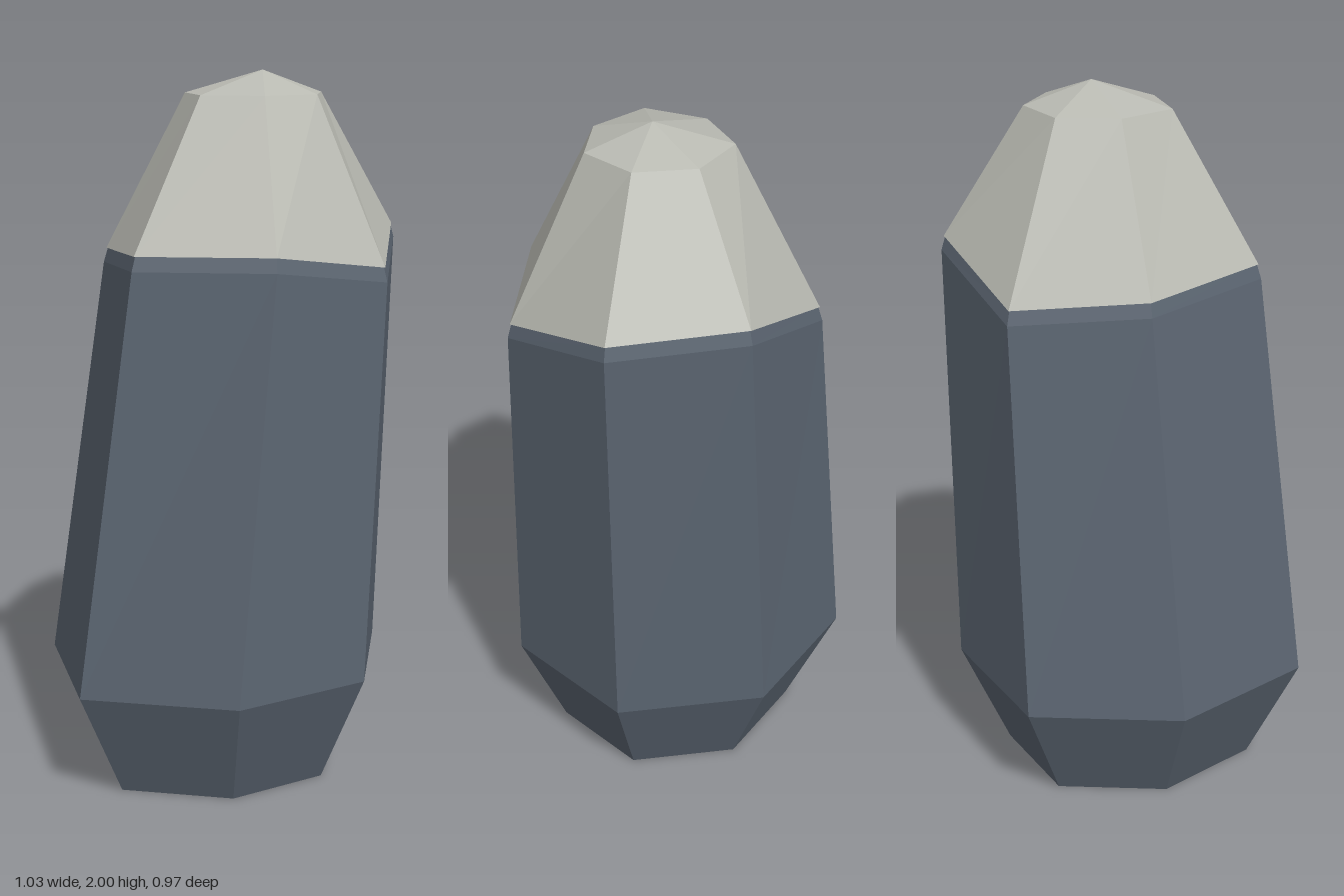
import * as THREE from 'three';

// Seven-sided outlines [x, z], counter-clockwise seen from above
const BULGE = [[0.47, 0.02], [0.28, -0.365], [-0.14, -0.485], [-0.47, -0.195], [-0.515, 0.255], [-0.13, 0.48], [0.275, 0.395]];
const RIM = [[0.505, 0.02], [0.347, -0.315], [-0.015, -0.41], [-0.3, -0.165], [-0.337, 0.225], [-0.005, 0.415], [0.338, 0.345]];
const CROWN = [[0.28, 0.02], [0.208, -0.135], [0.037, -0.18], [-0.095, -0.065], [-0.112, 0.115], [0.04, 0.205], [0.205, 0.172]];
const RIM_Y = [1.56, 1.58, 1.47, 1.5, 1.525, 1.53, 1.48];

// Turns an outline into a 3D ring, scaled about (cx, cz)
function ring(outline, heightAt, scale = 1, cx = 0, cz = 0) {
  return outline.map(([x, z], i) =>
    new THREE.Vector3(cx + (x - cx) * scale, heightAt(i), cz + (z - cz) * scale));
}

// Joins rings from bottom to top, closing the ends with fans where a centre is given
function loft(name, rings, color, bottom, top) {
  const pos = [];
  const tri = (...points) => points.forEach((p) => pos.push(p.x, p.y, p.z));
  const n = rings[0].length;
  const last = rings[rings.length - 1];
  for (let i = 0; i < n; i++) {
    const j = (i + 1) % n;
    for (let k = 0; k < rings.length - 1; k++) {
      const a = rings[k], b = rings[k + 1];
      tri(a[i], a[j], b[j]);
      tri(a[i], b[j], b[i]);
    }
    if (bottom) tri(bottom, rings[0][j], rings[0][i]);
    if (top) tri(top, last[i], last[j]);
  }
  const geometry = new THREE.BufferGeometry();
  geometry.setAttribute('position', new THREE.Float32BufferAttribute(pos, 3));
  geometry.computeVertexNormals();
  const mesh = new THREE.Mesh(geometry, new THREE.MeshStandardMaterial({ color, flatShading: true }));
  mesh.name = name;
  return mesh;
}

export function createModel() {
  const group = new THREE.Group();
  group.name = 'rockPillar';

  // Leaning stone column: tapered foot, long sides, narrow bevel under the cap
  const column = loft('stoneColumn', [
    ring(BULGE, () => 0, 0.72, -0.03, 0.03),
    ring(BULGE, () => 0.315),
    ring(RIM, (i) => RIM_Y[i] - 0.04, 1.018, 0.09, 0.02),
    ring(RIM, (i) => RIM_Y[i], 0.99, 0.09, 0.02),
  ], 0x5b6571, new THREE.Vector3(-0.02, 0, 0.02), new THREE.Vector3(0.09, 1.5, 0.02));

  // Pale cap with a low pointed crown
  const cap = loft('paleCap', [
    ring(RIM, (i) => RIM_Y[i]),
    ring(CROWN, () => 1.937),
  ], 0xb9bab2, new THREE.Vector3(0.09, 1.52, 0.02), new THREE.Vector3(0.103, 2, 0.022));

  group.add(column, cap);
  return group;
}
